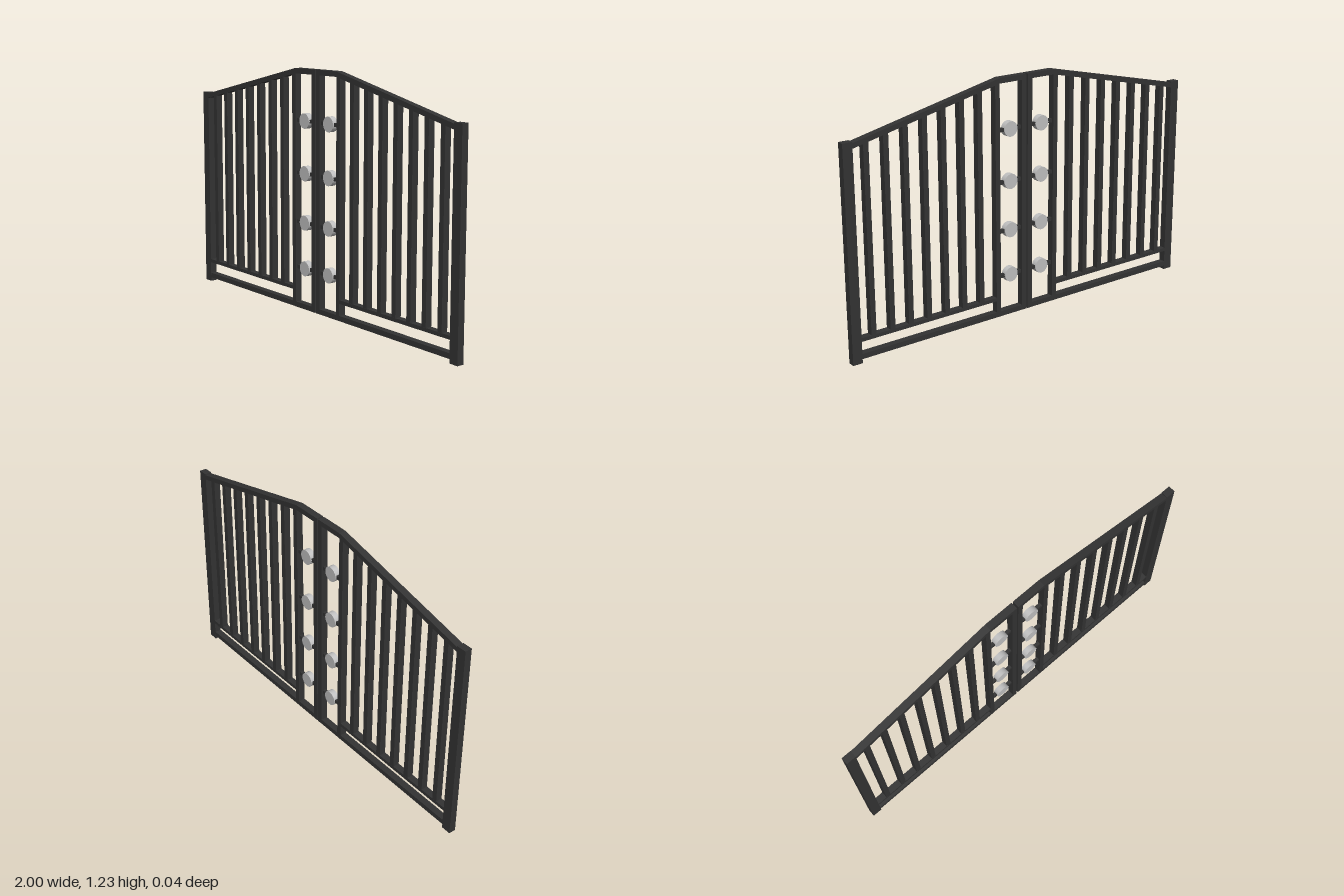
import * as THREE from 'three';

const DEPTH = 0.036;

export function createModel() {
  const iron = new THREE.MeshStandardMaterial({ color: 0x333333 });
  iron.name = 'darkIron';
  const silver = new THREE.MeshStandardMaterial({ color: 0xc0c0c0 });
  silver.name = 'silver';

  const gate = new THREE.Group();
  gate.name = 'doubleGate';

  // Box given by its x and y limits, centred on z = 0
  const bar = (parent, name, x0, x1, y0, y1, depth = DEPTH) => {
    const mesh = new THREE.Mesh(new THREE.BoxGeometry(x1 - x0, y1 - y0, depth), iron);
    mesh.position.set((x0 + x1) / 2, (y0 + y1) / 2, 0);
    mesh.name = name;
    parent.add(mesh);
  };

  // Height of the sloping top edge at distance x from the middle
  const topAt = (x) => 1.23 - Math.max(0, x - 0.16) * 0.225;

  for (const side of [-1, 1]) {
    const leaf = new THREE.Group();
    leaf.name = side > 0 ? 'leftLeaf' : 'rightLeaf';
    gate.add(leaf);
    const add = (name, a, b, y0, y1, depth) =>
      bar(leaf, name, Math.min(side * a, side * b), Math.max(side * a, side * b), y0, y1, depth);

    // Frame
    add('hingePost', 0.95, 1, 0, 1.058);
    add('meetingStile', 0.004, 0.031, 0.02, 1.205);
    add('innerStile', 0.161, 0.187, 0.02, 1.205, 0.0355);
    add('bottomRail', 0.031, 0.95, 0.02, 0.046, 0.035);
    add('lowerRail', 0.187, 0.95, 0.107, 0.125, 0.035);

    // Top rail: level over the stiles, then sloping to the post
    const outline = [
      [0.004, 1.23], [0.16, 1.23], [0.955, topAt(0.955)],
      [0.955, topAt(0.955) - 0.025], [0.16, 1.204], [0.004, 1.204],
    ].map(([x, y]) => new THREE.Vector2(side * x, y));
    const railGeo = new THREE.ExtrudeGeometry(new THREE.Shape(outline), { depth: DEPTH, bevelEnabled: false });
    railGeo.translate(0, 0, -DEPTH / 2);
    const rail = new THREE.Mesh(railGeo, iron);
    rail.name = 'topRail';
    leaf.add(rail);

    // Upright bars, ending inside the top rail
    for (let i = 0; i < 7; i++) {
      const x = 0.275 + i * 0.1015;
      add('uprightBar', x - 0.0135, x + 0.0135, 0.12, topAt(x) - 0.014, 0.034);
    }

    // Cross rods with round discs
    for (const y of [0.228, 0.462, 0.711, 0.973]) {
      add('crossRod', 0.031, 0.161, y - 0.009, y + 0.009, 0.018);
      const disc = new THREE.Mesh(new THREE.CylinderGeometry(0.038, 0.038, 0.03, 32), silver);
      disc.rotation.x = Math.PI / 2;
      disc.position.set(side * 0.094, y, 0);
      disc.name = 'roundDisc';
      leaf.add(disc);
    }
  }
  return gate;
}
